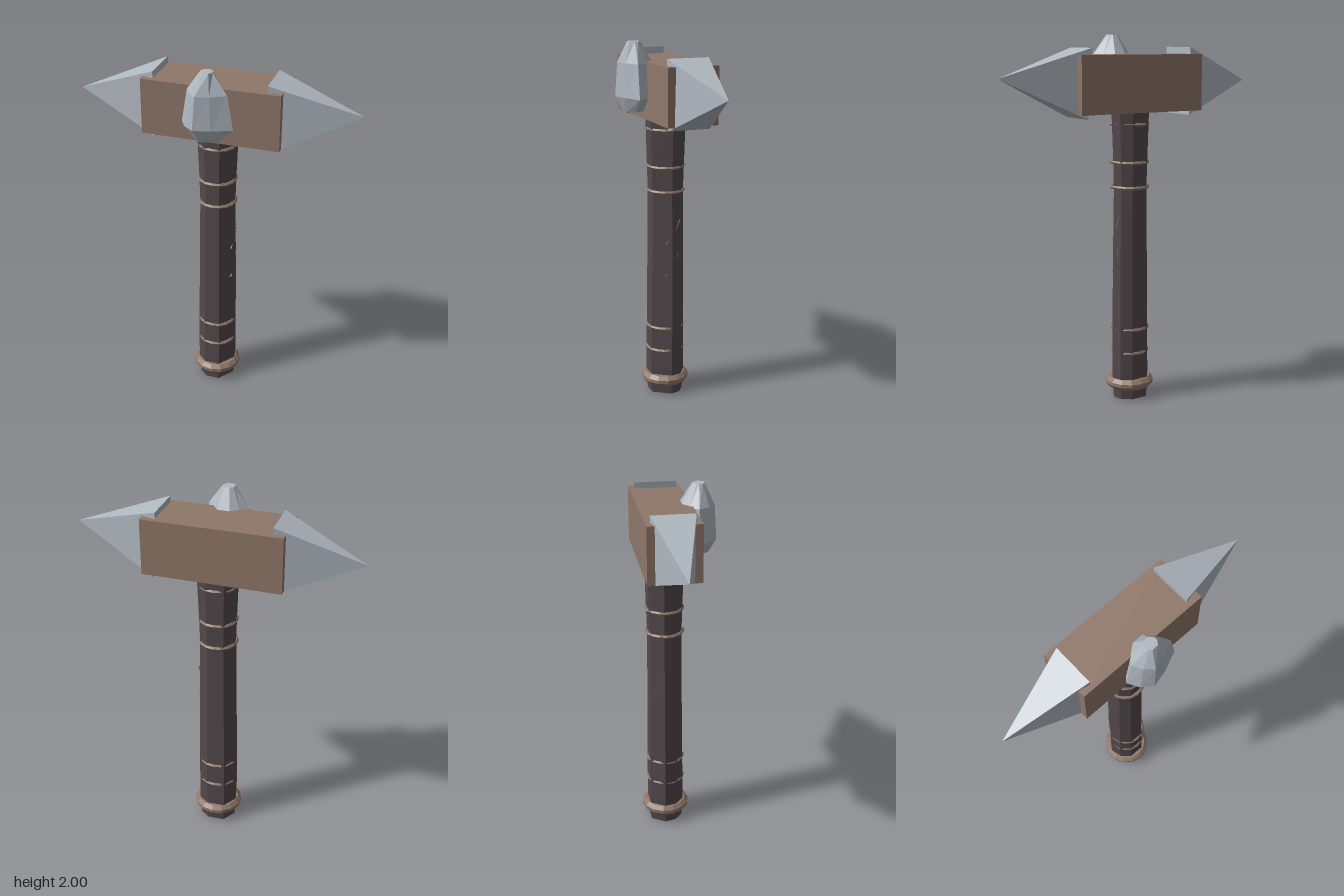
import * as THREE from 'three';

const flat = (name, color) => {
  const m = new THREE.MeshStandardMaterial({ color, flatShading: true });
  m.name = name;
  return m;
};

// Closed solid from stacked rings; every ring is { y, points: [[x, z], ...] }
function loft(rings) {
  const pos = [];
  const n = rings[0].points.length;
  const at = (r, i) => [r.points[i % n][0], r.y, r.points[i % n][1]];
  const mid = (r) => [
    r.points.reduce((s, p) => s + p[0], 0) / n, r.y,
    r.points.reduce((s, p) => s + p[1], 0) / n,
  ];
  const bottom = rings[0], top = rings[rings.length - 1];
  for (let i = 0; i < n; i++) {
    for (let k = 0; k < rings.length - 1; k++) {
      const a = rings[k], b = rings[k + 1];
      pos.push(...at(a, i), ...at(b, i), ...at(a, i + 1));
      pos.push(...at(b, i), ...at(b, i + 1), ...at(a, i + 1));
    }
    pos.push(...mid(bottom), ...at(bottom, i), ...at(bottom, i + 1));
    pos.push(...mid(top), ...at(top, i + 1), ...at(top, i));
  }
  const g = new THREE.BufferGeometry();
  g.setAttribute('position', new THREE.Float32BufferAttribute(pos, 3));
  g.computeVertexNormals();
  return g;
}

export function createModel() {
  const model = new THREE.Group();
  model.name = 'warHammer';
  const wood = flat('darkWood', 0x53494d);
  const brown = flat('brown', 0x8f7769);
  const steel = flat('steel', 0xb0b8c0);
  const axisZ = -0.065;

  const add = (name, geometry, material, x = 0, y = 0, z = 0, parent = model) => {
    const mesh = new THREE.Mesh(geometry, material);
    mesh.name = name;
    mesh.position.set(x, y, z);
    parent.add(mesh);
    return mesh;
  };

  // Handle: uneven faceted shaft, slimmer towards the upper middle
  const section = [[0.11, 0], [0.04, 0.098], [-0.045, 0.096], [-0.095, 0.05],
    [-0.11, -0.015], [-0.06, -0.094], [0.04, -0.098], [0.095, -0.06]];
  const shaft = [[0, 0.92, 0.93], [0.05, 0.96, 0.97], [0.15, 1.01, 1], [0.4, 1, 0.98],
    [0.8, 0.96, 0.94], [1.19, 0.9, 0.92], [1.35, 0.94, 0.97], [1.6, 1.03, 1.03]];
  add('handle', loft(shaft.map(([y, sx, sz]) => ({
    y, points: section.map(([x, z]) => [x * sx, z * sz]),
  }))), wood, 0, 0, axisZ);

  // Thin bands around the handle
  for (const y of [0.265, 0.4, 1.19, 1.325, 1.53]) {
    const band = new THREE.TorusGeometry(0.099, 0.01, 5, 16).rotateX(Math.PI / 2);
    add('handleBand', band, brown, 0, y, axisZ);
  }

  // Pommel collar
  const collar = [[0.09, 0.055], [0.115, 0.055], [0.134, 0.076], [0.134, 0.095],
    [0.115, 0.115], [0.09, 0.115]].map(([r, y]) => new THREE.Vector2(r, y));
  add('pommelCollar', new THREE.LatheGeometry(collar, 14), brown, 0, 0, axisZ);

  // Small scratches on the left side of the handle
  const scratches = [[1.0, -0.1, 0.07, -0.4], [0.91, -0.045, 0.03, -0.5],
    [0.83, -0.1, 0.04, -0.3], [0.72, -0.04, 0.02, -0.7]];
  for (const [y, z, length, tilt] of scratches) {
    const x = z < axisZ ? 0.094 : 0.088;
    const s = add('scratch', new THREE.BoxGeometry(0.008, length, 0.005), brown, x, y, z);
    s.rotation.x = tilt;
  }

  // Head block
  add('headBlock', new THREE.BoxGeometry(0.745, 0.303, 0.28), brown, -0.002, 1.747, axisZ);

  // Pyramid spikes on both ends, each slightly tilted
  const addSpike = (name, side, baseX, baseY, length, tilt) => {
    const g = new THREE.ConeGeometry(Math.SQRT1_2, 1, 4).rotateY(Math.PI / 4);
    g.translate(0, 0.5, 0).scale(0.364, length, 0.23).rotateZ(-side * Math.PI / 2);
    add(name, g, steel, baseX, baseY, axisZ).rotation.z = tilt;
  };
  addSpike('leftSpike', 1, 0.307, 1.752, 0.463, 0.068);
  addSpike('rightSpike', -1, -0.313, 1.753, 0.457, 0.012);

  // Faceted stud on the front of the head
  const outline = [[0.145, 0.02], [0.04, 0.065], [-0.05, 0.087], [-0.105, 0.045],
    [-0.14, -0.015], [-0.1, -0.065], [-0.04, -0.105], [0.045, -0.105], [0.1, -0.045]];
  const scaled = (sx, sz) => outline.map(([x, z]) => [x * sx, z * sz]);
  const tip = outline.map(([x, z]) => {
    const a = Math.atan2(z, x);
    return [0.034 * Math.cos(a), 0.034 * Math.sin(a)];
  });
  add('frontStud', loft([
    { y: 1.635, points: scaled(0.47, 0.6) },
    { y: 1.71, points: scaled(1, 1) },
    { y: 1.89, points: scaled(0.78, 0.9) },
    { y: 2, points: tip },
  ]), steel, 0, 0, 0.117);

  return model;
}
